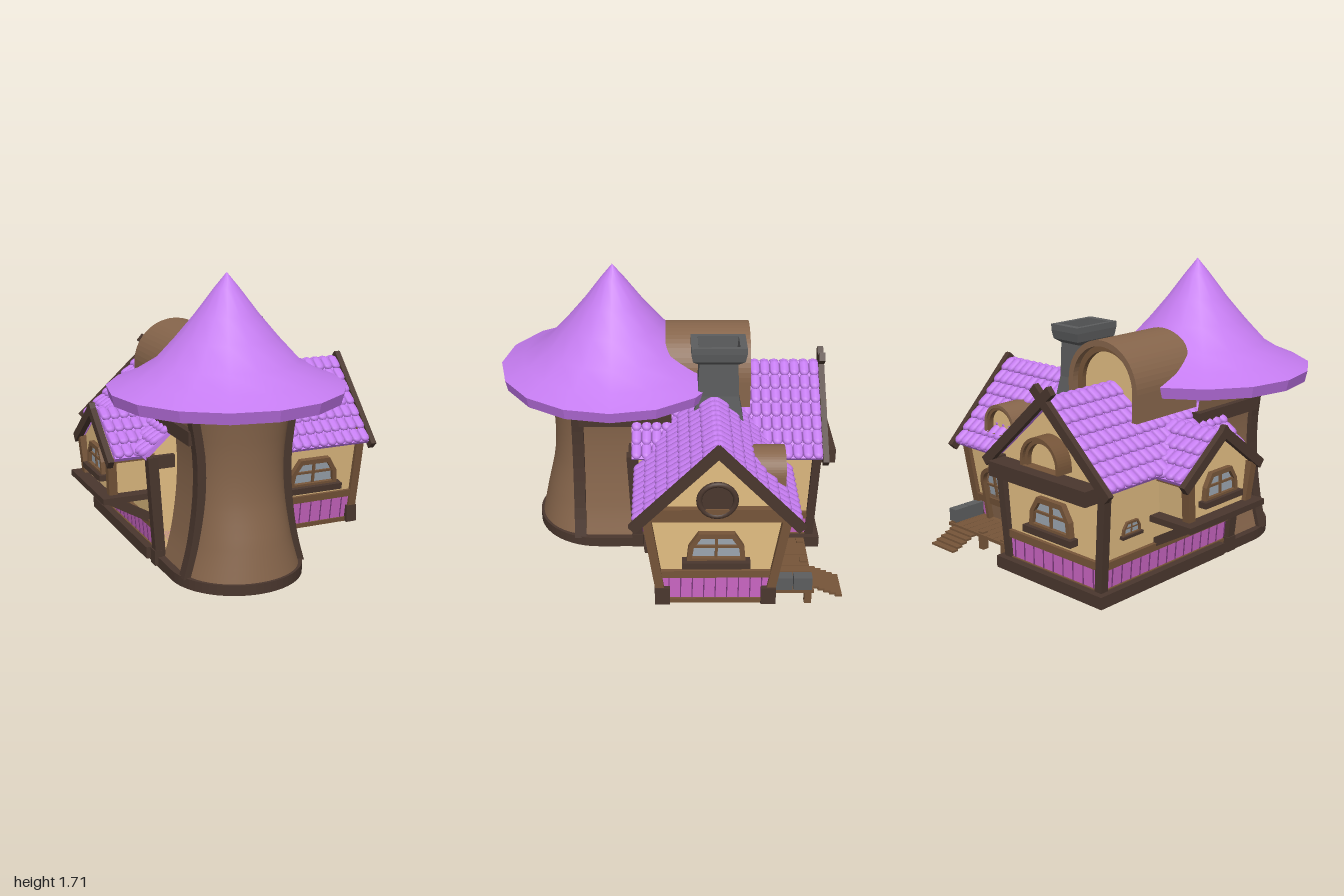
import * as THREE from 'three';
import { mergeGeometries } from 'three/addons/utils/BufferGeometryUtils.js';
import { ParametricGeometry } from 'three/addons/geometries/ParametricGeometry.js';

const mat = (color, flatShading = false) => new THREE.MeshStandardMaterial({ color, flatShading, side: THREE.DoubleSide });
const M = {
  roof: mat(0xc57cf0), trunk: mat(0x86654b), dark: mat(0x4a372e), wood: mat(0x765539), cream: mat(0xe2bd82),
  panel: mat(0xc965c2), groove: mat(0x7c3a7c), stone: mat(0x5c5d5e, true), glass: mat(0x9ba5b0), floor: mat(0x8a7550),
};
const V = (x, y, z) => new THREE.Vector3(x, y, z);

function add(parent, name, geo, m, x = 0, y = 0, z = 0) {
  const o = new THREE.Mesh(geo, m);
  o.name = name;
  o.position.set(x, y, z);
  parent.add(o);
  return o;
}
const box = (p, name, m, w, h, d, x, y, z) => add(p, name, new THREE.BoxGeometry(w, h, d), m, x, y, z);
// Straight timber from a to b
function beam(p, name, m, a, b, w, d) {
  const dir = b.clone().sub(a), mid = a.clone().add(b).multiplyScalar(0.5);
  const o = box(p, name, m, w, dir.length(), d, mid.x, mid.y, mid.z);
  o.quaternion.setFromUnitVectors(V(0, 1, 0), dir.normalize());
  return o;
}
const poly = pts => new THREE.Shape(pts.map(([x, y]) => new THREE.Vector2(x, y)));
const extrude = (shape, depth) => new THREE.ExtrudeGeometry(shape, { depth, bevelEnabled: false, curveSegments: 14 });
const arch = (r, leg) => {
  const s = new THREE.Shape();
  s.moveTo(r, -leg); s.lineTo(r, 0); s.absarc(0, 0, r, 0, Math.PI); s.lineTo(-r, -leg);
  return s;
};
function archRing(r, t, leg, depth) {
  const s = arch(r, leg);
  s.holes.push(arch(r - t, leg - 0.002));
  return extrude(s, depth);
}

// Window with cut-off upper corners, facing +z
function makeWindow(k = 1) {
  const g = new THREE.Group();
  g.name = 'window';
  const outline = i => [[-0.165 + i, i], [-0.155 + i, 0.1], [-0.1 + i / 2, 0.19 - i], [0.1 - i / 2, 0.19 - i], [0.155 - i, 0.1], [0.165 - i, i]];
  const s = poly(outline(0));
  s.holes.push(poly(outline(0.03)));
  add(g, 'windowFrame', extrude(s, 0.035), M.wood);
  add(g, 'windowGlass', new THREE.ShapeGeometry(poly(outline(0.02))), M.glass, 0, 0, 0.012);
  box(g, 'windowMullion', M.wood, 0.016, 0.17, 0.02, 0, 0.095, 0.015);
  box(g, 'windowTransom', M.wood, 0.29, 0.014, 0.02, 0, 0.1, 0.015);
  box(g, 'windowSill', M.dark, 0.38, 0.04, 0.06, 0, -0.005, 0.03);
  g.scale.setScalar(k);
  return g;
}
// Arched hood with a recessed back, facing +z
function makeHood(name, r, leg, depth, inset, m) {
  const g = new THREE.Group();
  g.name = name;
  add(g, 'hoodShell', archRing(r, r * 0.13, leg, depth), m, 0, 0, -depth);
  add(g, 'hoodInnerRing', archRing(r * 0.88, r * 0.14, leg, 0.03), M.wood, 0, 0, -inset);
  add(g, 'hoodBack', new THREE.ShapeGeometry(arch(r * 0.88, leg)), M.cream, 0, 0, -inset - 0.01);
  return g;
}

// Rounded tiles over two slopes
function makeRoof(g, w, skip) {
  const { ridge, eaveW, eaveY, roofFront, roofBack } = w, L = Math.hypot(eaveW, ridge - eaveY);
  const proto = new THREE.CapsuleGeometry(0.031, 0.05, 3, 8).scale(1, 1, 0.65).rotateX(-0.2);
  const tiles = [], rows = Math.round(L / 0.088), cols = Math.round((roofFront - roofBack) / 0.058);
  g.updateMatrix();
  for (const s of [1, -1]) {
    const up = V(-s * eaveW, ridge - eaveY, 0).divideScalar(L), n = V(s * (ridge - eaveY), eaveW, 0).divideScalar(L);
    const basis = new THREE.Matrix4().makeBasis(V(0, 0, -s), up, n);
    const slab = box(g, 'roofSlab', M.roof, roofFront - roofBack, L, 0.025, s * eaveW / 2, (ridge + eaveY) / 2, (roofFront + roofBack) / 2);
    slab.quaternion.setFromRotationMatrix(basis);
    for (let i = 0; i < rows; i++) for (let j = 0; j < cols; j++) {
      const t = (i + 0.45) / rows;
      const p = V(s * eaveW * t, ridge + (eaveY - ridge) * t, roofBack + (j + 0.5) / cols * (roofFront - roofBack)).addScaledVector(n, 0.016);
      if (skip(p.clone().applyMatrix4(g.matrix))) continue;
      tiles.push(proto.clone().applyMatrix4(basis.clone().setPosition(p)));
    }
    // Barge boards, crossing a little at the apex
    const e = V(s * eaveW, eaveY, roofFront + 0.015).addScaledVector(up, -0.03);
    beam(g, 'bargeBoard', M.dark, e, V(0, ridge + 0.01, roofFront + 0.015).addScaledVector(up, w.cross), 0.055, 0.035);
  }
  add(g, 'roofTiles', mergeGeometries(tiles), M.roof);
}

// Gabled wing: gable at local z = 0 facing +z, body running back
function makeWing(root, name, w, skip) {
  const g = new THREE.Group();
  g.name = name;
  g.position.set(...w.pos);
  g.rotation.y = w.turn;
  root.add(g);
  const { base, hb, ht, len } = w;
  const top = w.ridge - (w.ridge - w.eaveY) * ht / w.eaveW - 0.02;
  const half = y => hb + (ht - hb) * (y - base) / (top - base);
  add(g, 'walls', extrude(poly([[-hb, base], [hb, base], [ht, top], [0, w.ridge - 0.02], [-ht, top]]), len), M.cream, 0, 0, -len);
  const band = (n, y0, y1, grow, m) => add(g, n, extrude(poly([[-half(y0) - grow, y0], [half(y0) + grow, y0],
    [half(y1) + grow, y1], [-half(y1) - grow, y1]]), len + grow), m, 0, 0, -len);
  if (w.panels) {
    band('lowerPanels', base, 0.21, 0.008, M.panel);
    band('panelRail', 0.205, 0.25, 0.022, M.wood);
    band('bottomRail', base - 0.01, base + 0.02, 0.018, M.wood);
    for (let i = -4; i <= 4; i++) box(g, 'panelGroove', M.groove, 0.006, 0.2 - base, 0.004, i * hb / 4.6, (0.2 + base) / 2, 0.01);
    for (const s of [1, -1]) for (let z = -0.07; z > -len; z -= 0.073)
      beam(g, 'panelGroove', M.groove, V(s * (half(base) + 0.01), base, z), V(s * (half(0.2) + 0.01), 0.2, z), 0.004, 0.006);
  }
  for (const s of [1, -1]) {
    beam(g, 'cornerPost', w.post, V(s * hb, base, 0), V(s * ht, top, 0.015), 0.05, 0.05);
    if (w.feet) box(g, 'postFoot', M.dark, 0.085, 0.11, 0.07, s * hb, base + 0.045, 0);
    beam(g, 'eaveBeam', M.wood, V(s * ht, top - 0.015, 0), V(s * ht, top - 0.015, -len), 0.03, 0.03);
  }
  makeRoof(g, w, skip);
  // Places a part on a leaning side wall
  g.userData.onSide = (o, s, y, z) => {
    o.position.set(s * half(y), y, z);
    o.rotation.set(Math.atan2(ht - hb, top - base), s * Math.PI / 2, 0, 'YXZ');
    g.add(o);
  };
  return g;
}

function makeTower(root) {
  const g = new THREE.Group();
  g.name = 'tower';
  root.add(g);
  const cx = -0.2, cz = 0.32;
  // Trunk: rounded front, straight sides, waisted
  const curve = (pts) => new THREE.SplineCurve(pts.map(p => new THREE.Vector2(...p)));
  const wide = curve([[0.35, 0.05], [0.3, 0.24], [0.265, 0.5], [0.265, 0.75], [0.31, 1.04]]);
  const front = curve([[0.795, 0.05], [0.755, 0.27], [0.7, 0.5], [0.695, 0.75], [0.73, 1.04]]);
  add(g, 'trunk', new ParametricGeometry((u, v, t) => {
    const a = wide.getPoint(v), f = front.getPoint(v).x, k = (u - 0.15) / 0.7;
    if (k < 0) t.set(cx + a.x, a.y, u / 0.15 * 0.48);
    else if (k > 1) t.set(cx - a.x, a.y, (1 - u) / 0.15 * 0.48);
    else t.set(cx + a.x * Math.cos(k * Math.PI), a.y, 0.48 + (f - 0.48) * Math.sin(k * Math.PI));
  }, 40, 16), M.trunk);
  // Curved posts beside the trunk
  for (const s of [1, -1]) {
    const p = wide.getPoints(12);
    const shape = poly([...p.map(q => [s * (q.x - 0.03), q.y]), ...p.reverse().map(q => [s * (q.x + 0.025), q.y])]);
    add(g, 'trunkPost', extrude(shape, 0.07), M.dark, cx, 0, 0.5);
    box(g, 'towerTieBeam', M.dark, 0.06, 0.08, 0.55, cx + s * 0.29, 0.84, 0.25);
    beam(g, 'rearPost', M.dark, V(cx + s * 0.37, 0.05, 0.18), V(cx + s * 0.42, 0.67, 0.21), 0.06, 0.06);
    box(g, 'frontWallBeam', M.dark, 0.13, 0.075, 0.06, cx + s * 0.35, 0.635, 0.2);
    box(g, 'postBlock', M.dark, 0.05, 0.09, 0.07, cx + s * 0.385, 0.055, 0.18);
  }
  // Round-fronted base
  const s = new THREE.Shape();
  s.moveTo(0.39, 0.1); s.lineTo(0.39, -0.42); s.absarc(0, -0.42, 0.39, 0, -Math.PI, true); s.lineTo(-0.39, 0.1);
  add(g, 'towerBase', extrude(s, 0.06).rotateX(-Math.PI / 2), M.dark, cx, 0, 0);
  // Flared conical roof with a faceted rim
  const lathe = pts => new THREE.LatheGeometry(pts.map(p => new THREE.Vector2(...p)), 16);
  add(g, 'coneRoof', lathe([[0.68, 1.075], [0.55, 1.13], [0.41, 1.215], [0.29, 1.345], [0.18, 1.475], [0.07, 1.62], [0, 1.705]]), M.roof, cx, 0, cz);
  add(g, 'coneRim', lathe([[0, 1.03], [0.6, 1.02], [0.665, 1.01], [0.68, 1.075]]), mat(0xb96fe0, true), cx, 0, cz);
}

export function createModel() {
  const root = new THREE.Group();
  root.name = 'cottage';
  makeTower(root);

  const mainY = p => (Math.abs(p.x + 0.2) < 0.44 ? 1.07 - 0.89 * Math.abs(p.x + 0.2) : 0);
  const underMain = p => p.y < mainY(p) - 0.03;
  const underSides = p => (p.x > -0.1 && p.y < 1.0 - 1.01 * Math.abs(p.z + 0.27) && Math.abs(p.z + 0.27) < 0.43)
    || (p.x < -0.35 && p.y < 0.84 - 0.75 * Math.abs(p.z + 0.2) && Math.abs(p.z + 0.2) < 0.29);
  const main = makeWing(root, 'mainWing', { pos: [-0.2, 0, -0.87], turn: Math.PI, len: 1.07, base: 0.07, hb: 0.36, ht: 0.41,
    ridge: 1.07, eaveW: 0.46, eaveY: 0.66, roofFront: 0.045, roofBack: -1.08, cross: 0.09, panels: true, post: M.dark }, underSides);
  const right = makeWing(root, 'rightWing', { pos: [0.78, 0, -0.27], turn: Math.PI / 2, len: 0.75, base: 0.04, hb: 0.3, ht: 0.39,
    ridge: 1.03, eaveW: 0.445, eaveY: 0.58, roofFront: 0.05, roofBack: -0.88, cross: 0.02, panels: true, feet: true, post: M.wood }, underMain);
  const left = makeWing(root, 'leftBay', { pos: [-0.8, 0, -0.2], turn: -Math.PI / 2, len: 0.4, base: 0.41, hb: 0.24, ht: 0.27,
    ridge: 0.865, eaveW: 0.305, eaveY: 0.64, roofFront: 0.0, roofBack: -0.5, cross: 0.03, post: M.wood }, underMain);
  left.children.filter(o => o.name === 'bargeBoard').forEach(o => { o.position.z += 0.02; });

  // Windows
  const put = (parent, o, x, y, z) => { o.position.set(x, y, z); parent.add(o); };
  put(main, makeWindow(), 0, 0.32, 0);
  put(right, makeWindow(), 0, 0.315, 0);
  put(left, makeWindow(0.85), 0, 0.5, 0);
  right.userData.onSide(makeWindow(), -1, 0.315, -0.3);
  main.userData.onSide(makeWindow(0.42), 1, 0.36, -0.2);
  right.userData.onSide(makeWindow(0.42), 1, 0.36, -0.48);

  // Gable details
  box(main, 'gableLedge', M.dark, 0.76, 0.085, 0.12, 0, 0.635, 0.07);
  put(main, makeHood('gableVent', 0.15, 0.03, 0.1, 0.05, M.wood), 0, 0.73, 0.1);
  box(right, 'tieBeam', M.wood, 0.78, 0.08, 0.05, 0, 0.625, 0.015);
  add(right, 'roundVentRing', new THREE.TorusGeometry(0.1, 0.016, 8, 24), M.dark, 0, 0.72, 0.03);
  add(right, 'roundVent', new THREE.CylinderGeometry(0.1, 0.1, 0.04, 24).rotateX(Math.PI / 2), M.dark, 0, 0.72, 0.01);

  // Jettied bay floor and braces
  box(left, 'bayLedge', M.dark, 0.64, 0.035, 0.3, 0, 0.405, -0.07);
  for (const x of [-0.25, 0.25]) beam(left, 'bayBrace', M.dark, V(x, 0.39, 0.02), V(x, 0.24, -0.24), 0.05, 0.05);

  // Back foundation and floors
  const f = poly([[-0.42, -0.1], [0.42, -0.1], [0.42, 0.93], [-0.42, 0.93]].map(([x, y]) => [x, y + 0.1 - 0.1]));
  f.holes.push(poly([[-0.36, -0.05], [0.36, -0.05], [0.36, 0.87], [-0.36, 0.87]]));
  add(root, 'foundation', extrude(f, 0.07).rotateX(-Math.PI / 2), M.dark, -0.2, 0.015, 0);
  box(root, 'mainFloor', M.floor, 0.74, 0.03, 0.8, -0.2, 0.04, -0.48);
  box(root, 'rightFloor', M.floor, 0.6, 0.02, 0.6, 0.48, 0.035, -0.27);

  // Barrel dormer over the main ridge and eyebrow dormer on the right wing
  const barrel = makeHood('barrelDormer', 0.265, 0.16, 0.5, 0.07, M.trunk);
  barrel.rotation.y = Math.PI;
  put(root, barrel, -0.2, 1.065, -0.49);
  const brow = makeHood('eyebrowDormer', 0.135, 0.05, 0.26, 0.04, M.trunk);
  brow.rotation.y = Math.PI;
  put(root, brow, 0.49, 0.735, -0.66);

  // Chimney: square lathe, hollow cap
  const q = Math.SQRT2;
  const prof = [[0.11, 0.75], [0.1, 0.9], [0.08, 1.05], [0.075, 1.25], [0.1, 1.275], [0.107, 1.325], [0.107, 1.36], [0.08, 1.36], [0.075, 1.27], [0, 1.27]];
  const chimney = add(root, 'chimney', new THREE.LatheGeometry(prof.map(([r, y]) => new THREE.Vector2(r * q, y)), 4).rotateY(Math.PI / 4), M.stone, 0.137, 0, -0.293);
  chimney.scale.z = 1.48;

  // Arched back door
  const door = new THREE.Group();
  door.name = 'door';
  add(door, 'doorFrame', archRing(0.115, 0.025, 0.25, 0.045), M.wood);
  add(door, 'doorLeaf', new THREE.ShapeGeometry(arch(0.095, 0.25)), M.trunk, 0, 0, 0.012);
  add(door, 'doorGlass', new THREE.ShapeGeometry(arch(0.07, 0.08)), M.glass, 0, 0, 0.018);
  box(door, 'doorMullion', M.wood, 0.014, 0.15, 0.02, 0, -0.005, 0.02);
  box(door, 'doorTransom', M.wood, 0.15, 0.014, 0.02, 0, -0.01, 0.02);
  right.userData.onSide(door, 1, 0.36, -0.22);

  // Deck, steps and stone bench
  for (let i = 0; i < 9; i++) box(root, 'deckPlank', M.wood, 0.056, 0.02, 0.28, 0.29 + i * 0.059, 0.1, -0.69);
  for (const x of [0.3, 0.5, 0.76]) box(root, 'deckPost', M.wood, 0.04, 0.11, 0.04, x, 0.065, -0.8);
  for (let i = 0; i < 5; i++) box(root, 'step', M.wood, 0.2, 0.012, 0.04, 0.64, 0.09 - i * 0.014, -0.845 - i * 0.034);
  for (const z of [-0.655, -0.765]) box(root, 'stoneBench', M.stone, 0.06, 0.08, 0.105, 0.765, 0.155, z);
  return root;
}
